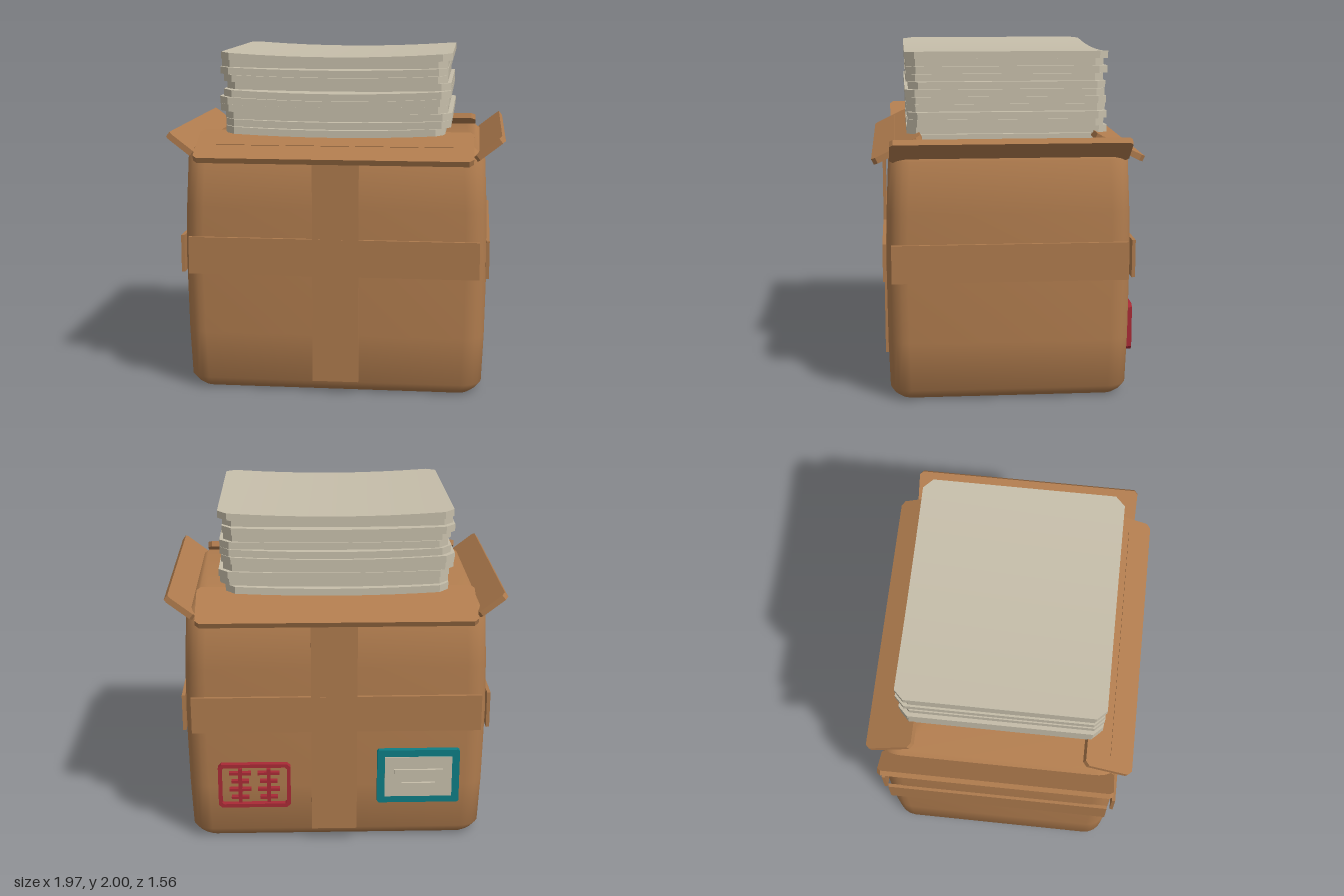
import * as THREE from 'three';
import { toCreasedNormals } from 'three/addons/utils/BufferGeometryUtils.js';

const mat = (name, color) => {
  const m = new THREE.MeshStandardMaterial({ color });
  m.name = name;
  return m;
};

export function createModel() {
  const cardboard = mat('cardboard', 0xb07c4e);
  const tape = mat('packing tape', 0xad7a4d);
  const paper = mat('paper', 0xc6beaa);
  const red = mat('red stamp', 0xa82a35);
  const teal = mat('teal border', 0x0e7d84);
  const model = new THREE.Group();
  model.name = 'boxOfPapers';

  const add = (name, geometry, material, x = 0, y = 0, z = 0) => {
    const m = new THREE.Mesh(geometry, material);
    m.name = name;
    m.position.set(x, y, z);
    model.add(m);
    return m;
  };
  const box = (name, material, w, h, d, x, y, z) =>
    add(name, new THREE.BoxGeometry(w, h, d), material, x, y, z);

  // Rectangle with cut corners, as points
  const cutRect = (w, h, c) => [
    [w / 2, c - h / 2], [w / 2, h / 2 - c], [w / 2 - c, h / 2], [c - w / 2, h / 2],
    [-w / 2, h / 2 - c], [-w / 2, c - h / 2], [c - w / 2, -h / 2], [w / 2 - c, -h / 2],
  ].map(([x, y]) => new THREE.Vector2(x, y));

  // Plate centred on the origin, with an optional frame opening
  const plate = (w, h, t, c, border = 0) => {
    const shape = new THREE.Shape(cutRect(w, h, c));
    if (border) shape.holes.push(new THREE.Path(cutRect(w - 2 * border, h - 2 * border, c / 2)));
    return new THREE.ExtrudeGeometry(shape, { depth: t, bevelEnabled: false }).translate(0, 0, -t / 2);
  };

  // Box body: rounded rectangles stacked with a slight bulge and bevelled ends
  const levels = [ // y, half width, half depth, corner radius
    [0, 0.8, 0.63, 0.07], [0.025, 0.835, 0.665, 0.1], [0.065, 0.87, 0.69, 0.12],
    [0.35, 0.882, 0.699, 0.12], [0.8, 0.89, 0.703, 0.12], [1.1, 0.884, 0.698, 0.12],
    [1.4, 0.87, 0.685, 0.12], [1.43, 0.85, 0.665, 0.1], [1.46, 0.81, 0.63, 0.07],
  ];
  const steps = 5, ring = 4 * (steps + 1);
  const pos = [], index = [];
  for (const [y, hx, hz, r] of levels) {
    for (let q = 0; q < 4; q++) {
      const sx = q === 0 || q === 3 ? 1 : -1, sz = q < 2 ? 1 : -1;
      for (let s = 0; s <= steps; s++) {
        const a = (q + s / steps) * Math.PI / 2;
        pos.push(sx * (hx - r) + r * Math.cos(a), y, sz * (hz - r) + r * Math.sin(a));
      }
    }
  }
  for (let l = 0; l < levels.length - 1; l++) {
    for (let i = 0; i < ring; i++) {
      const a = l * ring + i, b = l * ring + (i + 1) % ring;
      index.push(a, a + ring, b, b, a + ring, b + ring);
    }
  }
  const last = (levels.length - 1) * ring;
  for (let i = 1; i < ring - 1; i++) {
    index.push(0, i, i + 1, last, last + i + 1, last + i);
  }
  const body = new THREE.BufferGeometry();
  body.setAttribute('position', new THREE.Float32BufferAttribute(pos, 3));
  body.setIndex(index);
  add('boxBody', toCreasedNormals(body, 0.9), cardboard);

  // Flaps: front and back droop outward, the sides stand up and out
  for (const s of [1, -1]) {
    add(s > 0 ? 'frontFlap' : 'backFlap',
      plate(1.615, 0.305, 0.035, 0.025).rotateX(-s * 1.12), cardboard, 0, 1.457, s * 0.635);
    add(s > 0 ? 'leftFlap' : 'rightFlap',
      plate(1.355, 0.2, 0.035, 0.02).rotateY(Math.PI / 2).rotateZ(-s * 0.91),
      cardboard, s * 0.895, 1.465, 0);
  }
  // Crease pressed along the front flap
  add('flapCrease', new THREE.BoxGeometry(1.44, 0.01, 0.006).rotateX(-1.12),
    cardboard, 0, 1.469, 0.65);

  // Tape: a band on every side and an upright strip front and back
  for (const s of [1, -1]) {
    box('tapeBand', tape, 1.7, 0.22, 0.02, 0, 0.82, s * 0.714);
    box('tapeStrip', tape, 0.27, 1.32, 0.018, 0.015, 0.735, s * 0.714);
    box('sideTapeBand', tape, 0.02, 0.22, 1.35, s * 0.895, 0.82, 0);
  }

  // Paper stack: cut-cornered slabs sagging in the middle
  let seed = 7;
  const rand = () => (seed = (seed * 16807) % 2147483647) / 2147483647;
  const count = 11, base = 1.525, step = (2 - base) / count, segs = 10;
  for (let i = 0; i < count; i++) {
    const top = i === count - 1;
    const w = top ? 1.35 : 1.29 + 0.06 * rand(), d = top ? 1.17 : 1.12 + 0.05 * rand();
    const dx = top ? 0 : (rand() - 0.5) * 0.035, dz = top ? 0 : (rand() - 0.5) * 0.02;
    const sag = top ? 0.026 : 0.008 + 0.016 * rand(), cut = 0.055;
    const g = new THREE.BoxGeometry(w, step - 0.002, d, segs, 1, 1);
    const p = g.attributes.position;
    for (let k = 0; k < p.count; k++) {
      const col = Math.round((p.getX(k) / w + 0.5) * segs);
      const end = col === 0 || col === segs;
      const x = end ? p.getX(k) : ((col - 1) / (segs - 2) - 0.5) * (w - 2 * cut);
      if (end) p.setZ(k, Math.sign(p.getZ(k)) * (d / 2 - cut));
      p.setX(k, x);
      p.setY(k, p.getY(k) - sag * (1 - (2 * x / w) ** 2));
    }
    add('paperSheaf', toCreasedNormals(g, 0.4), paper, dx, base + (i + 0.5) * step, dz);
  }
  box('paperInsideBox', paper, 1.24, 0.09, 1.06, 0, 1.475, 0);

  // Red stamp on the back: frame with two columns of crossed bars
  const sx = 0.49, sy = 0.37;
  add('stampFrame', plate(0.43, 0.28, 0.035, 0.02, 0.022), red, sx, sy, -0.72);
  for (const c of [-1, 1]) {
    const cx = sx + c * 0.085;
    box('stampUpright', red, 0.022, 0.215, 0.03, cx, sy, -0.72);
    for (let r = 0; r < 4; r++) {
      box('stampBar', red, r % 2 ? 0.13 : 0.105, 0.016, 0.03, cx, sy + (r - 1.5) * 0.052, -0.721);
    }
  }

  // Shipping label on the back
  const lx = -0.485, ly = 0.42;
  add('labelBorder', plate(0.49, 0.34, 0.035, 0.01), teal, lx, ly, -0.717);
  box('labelPanel', paper, 0.4, 0.255, 0.008, lx, ly, -0.736);
  box('labelLineLong', paper, 0.29, 0.032, 0.02, lx, ly + 0.035, -0.745);
  box('labelLineShort', paper, 0.2, 0.032, 0.02, lx, ly - 0.05, -0.745);

  return model;
}
